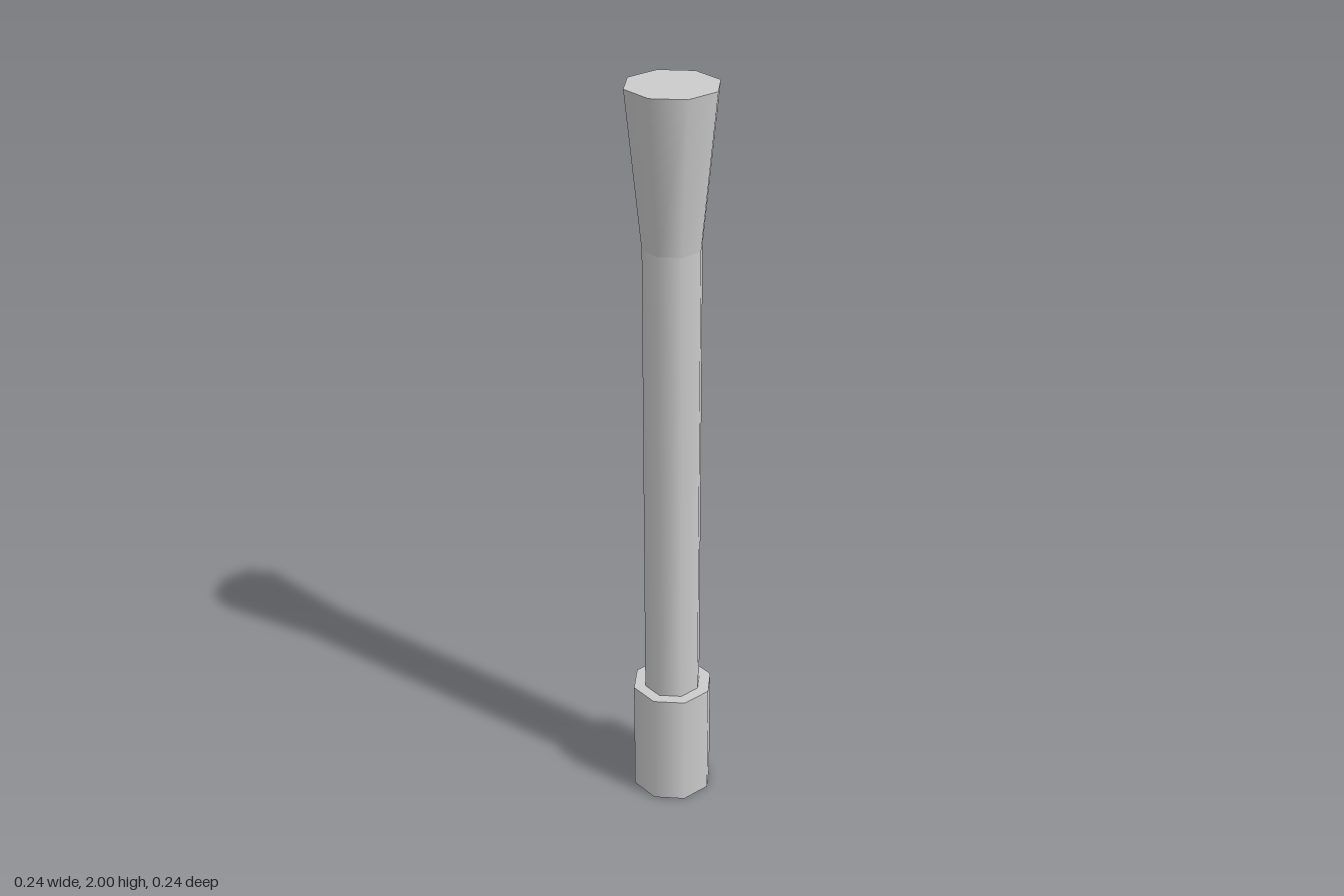
import * as THREE from 'three';

const SIDES = 8;

export function createModel() {
  const group = new THREE.Group();
  const material = new THREE.MeshStandardMaterial({ color: 0xcccccc });

  // Smooth-sided octagonal section between two heights
  function section(name, bottomRadius, topRadius, y0, y1, open = false) {
    const geometry = new THREE.CylinderGeometry(topRadius, bottomRadius, y1 - y0, SIDES, 1, open);
    const mesh = new THREE.Mesh(geometry, material);
    mesh.name = name;
    mesh.position.y = (y0 + y1) / 2;
    group.add(mesh);
  }

  // Thick collar at the foot
  section('baseCollar', 0.109, 0.109, 0, 0.325);
  // Slim straight shaft rising from the collar
  section('shaft', 0.077, 0.077, 0.325, 1.6, true);
  // Flared, closed head
  section('flaredHead', 0.077, 0.118, 1.6, 2);

  return group;
}
